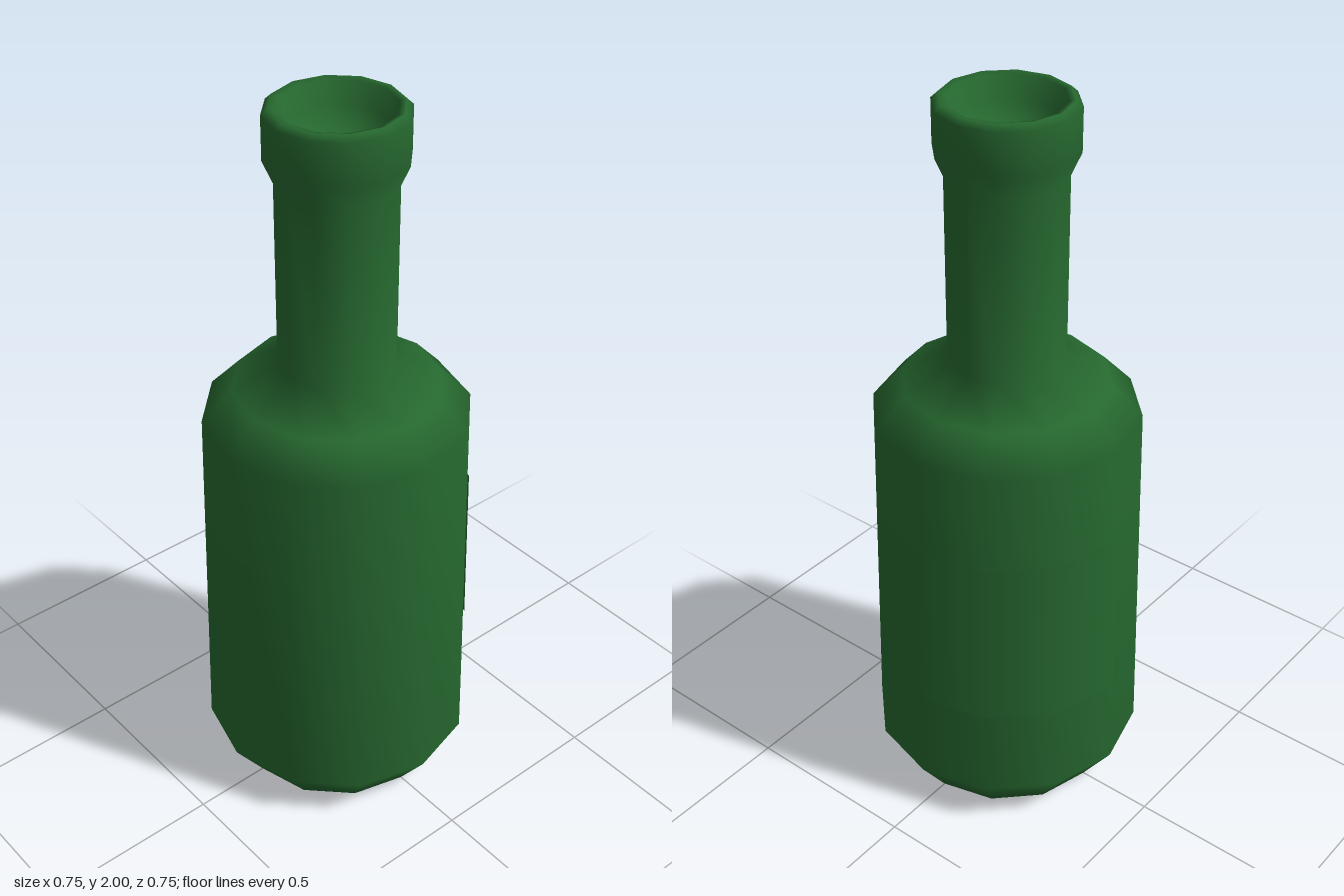
import * as THREE from 'three';

const SIDES = 12;
const BASE_Y = 0.125, BASE_R = 0.374;         // widest ring, just above the foot
const SHOULDER_Y = 1.15, SHOULDER_R = 0.355;  // top of the tapered body

// Radius of the tapered body wall at height y
const bodyRadius = (y) =>
  THREE.MathUtils.mapLinear(y, BASE_Y, SHOULDER_Y, BASE_R, SHOULDER_R);

function lathe(name, profile, material, segments = SIDES, start = 0, length = Math.PI * 2) {
  const points = profile.map(([r, y]) => new THREE.Vector2(r, y));
  const mesh = new THREE.Mesh(new THREE.LatheGeometry(points, segments, start, length), material);
  mesh.name = name;
  return mesh;
}

export function createModel() {
  const group = new THREE.Group();
  group.name = 'bottle';
  const glass = new THREE.MeshStandardMaterial({ color: 0x26682f });
  const paper = new THREE.MeshStandardMaterial({ color: 0x26682f, side: THREE.DoubleSide });

  // Glass: underside, chamfered foot, body, shoulder, neck, lip and hollow mouth
  group.add(lathe('glassBody', [
    [0, 0],
    [0.285, 0],
    [BASE_R, BASE_Y],
    [SHOULDER_R, SHOULDER_Y],
    [0.275, 1.235],
    [0.155, 1.305],
    [0.155, 1.81],
    [0.181, 1.87],
    [0.181, 1.985],
    [0.165, 2],
    [0.148, 1.995],
    [0.125, 1.94],
    [0.09, 1.89],
    [0, 1.87],
  ], glass));

  // Label: thin shell over four facets of the back left of the body
  const proud = 0.004;
  group.add(lathe('label',
    [0.39, 0.88].map((y) => [bodyRadius(y) + proud, y]),
    paper, 4, THREE.MathUtils.degToRad(150), THREE.MathUtils.degToRad(120)));

  return group;
}
